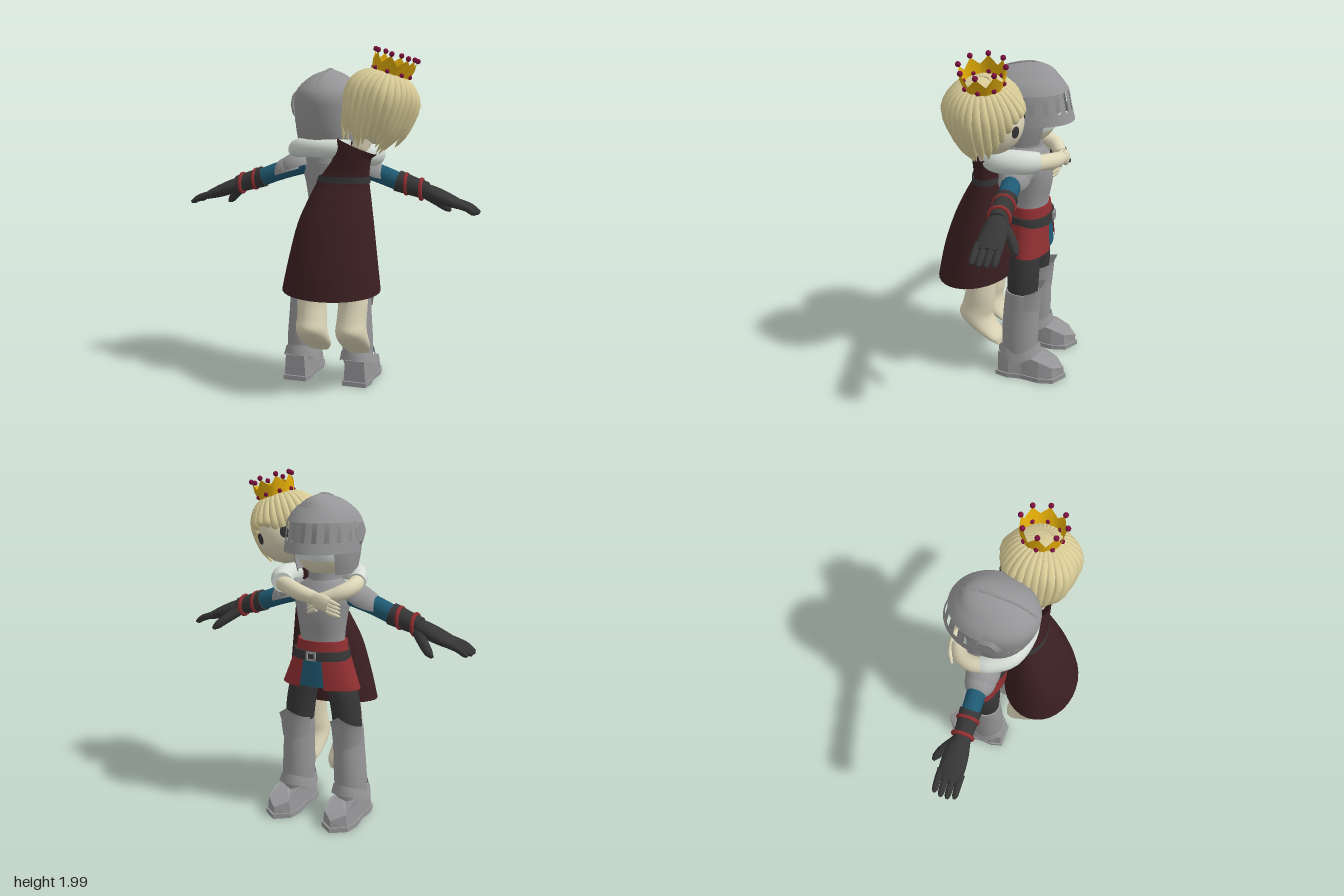
import * as THREE from 'three';

const mat = (name, color) => {
  const m = new THREE.MeshStandardMaterial({ color, side: THREE.DoubleSide });
  m.name = name;
  return m;
};
const M = {
  steel: mat('steel grey', 0x959597), dark: mat('charcoal', 0x363637), red: mat('red cloth', 0x8f2f31),
  blue: mat('blue cloth', 0x1f5a73), maroon: mat('maroon dress', 0x3b1f21), skin: mat('pale skin', 0xdcd5b8),
  hair: mat('blonde hair', 0xdacd98), white: mat('white cloth', 0xd4dcd5), gold: mat('gold', 0xe0aa08),
  gem: mat('gem', 0x7d1140),
};

function add(parent, name, geo, material, pos = [0, 0, 0], rot = [0, 0, 0], scale = [1, 1, 1]) {
  const m = new THREE.Mesh(geo, material);
  m.name = name;
  m.position.set(...pos);
  m.rotation.set(...rot);
  m.scale.set(...scale);
  parent.add(m);
  return m;
}

// Elliptical sections [x, y, z, ru, rv] swept along a smooth path; rv lies along ref.
// flat keeps the rings level (list them upward); arc (degrees, 270 = -z) leaves part of the ring open.
function loft(pts, { ref = [0, 0, 1], flat = false, arc = null, n = 20, s = 4, caps = true } = {}) {
  const spline = f => new THREE.CatmullRomCurve3(pts.map(f), false, 'catmullrom', 0.5);
  const path = spline(p => new THREE.Vector3(p[0], p[1], p[2]));
  const radii = spline(p => new THREE.Vector3(p[3], p[4] ?? p[3], 0));
  const rings = (pts.length - 1) * s, pos = [], idx = [];
  const cols = arc ? n + 1 : n;
  const [a0, a1] = (arc ?? [0, 360]).map(THREE.MathUtils.degToRad);
  for (let i = 0; i <= rings; i++) {
    const t = i / rings, c = path.getPoint(t), r = radii.getPoint(t);
    const w = flat ? new THREE.Vector3(0, 1, 0) : path.getTangent(t);
    const v = new THREE.Vector3(...ref).addScaledVector(w, -w.dot(new THREE.Vector3(...ref))).normalize();
    const u = v.clone().cross(w);
    for (let j = 0; j < cols; j++) {
      const a = a0 + (a1 - a0) * j / n;
      const p = c.clone().addScaledVector(u, Math.cos(a) * Math.max(r.x, 0.001))
        .addScaledVector(v, Math.sin(a) * Math.max(r.y, 0.001));
      pos.push(p.x, p.y, p.z);
    }
  }
  for (let i = 0; i < rings; i++) for (let j = 0; j < n; j++) {
    const k = (j + 1) % cols, a = i * cols + j, b = i * cols + k;
    idx.push(a, b, a + cols, b, b + cols, a + cols);
  }
  if (caps && !arc) for (const i of [0, rings]) {
    const base = pos.length / 3, c = path.getPoint(i / rings);
    pos.push(...pos.slice(i * cols * 3, (i + 1) * cols * 3), c.x, c.y, c.z);
    for (let j = 0; j < n; j++) {
      const k = (j + 1) % n;
      idx.push(base + n, ...(i ? [base + j, base + k] : [base + k, base + j]));
    }
  }
  const g = new THREE.BufferGeometry();
  g.setAttribute('position', new THREE.Float32BufferAttribute(pos, 3));
  g.setIndex(idx);
  g.computeVertexNormals();
  return g;
}

function moveVertices(g, rule) {
  const p = g.attributes.position, v = new THREE.Vector3();
  for (let i = 0; i < p.count; i++) {
    rule(v.fromBufferAttribute(p, i), i);
    p.setXYZ(i, v.x, v.y, v.z);
  }
  g.computeVertexNormals();
  return g;
}

const ball = (r = 1) => new THREE.SphereGeometry(r, 24, 16);

function buildHelmet(g) {
  add(g, 'knightFace', ball(), M.skin, [0, 1.58, -0.1], [0, 0, 0], [0.165, 0.165, 0.175]);
  add(g, 'knightFringe', new THREE.SphereGeometry(1, 24, 12, 0, Math.PI * 2, 0, 1.95), M.white, [0, 1.585, -0.1], [0, 0, 0], [0.176, 0.178, 0.183]);
  add(g, 'helmetDome', loft([[0, 1.6, -0.075, 0.192, 0.215], [0, 1.7, -0.075, 0.195, 0.228], [0, 1.77, -0.086, 0.172, 0.208],
    [0, 1.84, -0.11, 0.092, 0.14], [0, 1.875, -0.145, 0.002, 0.04]], { flat: true, n: 28, caps: false }), M.steel);
  add(g, 'helmetNeck', loft([[0, 1.44, -0.075, 0.172, 0.165], [0, 1.52, -0.075, 0.185, 0.195], [0, 1.6, -0.075, 0.192, 0.215]],
    { flat: true, arc: [-48, 228], n: 28 }), M.steel);
  add(g, 'helmetRidge', loft([[0, 1.7, 0.15, 0.004], [0, 1.78, 0.115, 0.005], [0, 1.845, 0.025, 0.005], [0, 1.876, -0.14, 0.006],
    [0, 1.83, -0.26, 0.005]], { ref: [1, 0, 0], n: 6 }), M.steel);
  // Visor: two bands joined by bars
  const visor = (rings, arc, n) => loft(rings, { flat: true, arc, n, s: 2 });
  const low = [0, 1.625, -0.1, 0.211, 0.256], high = [0, 1.73, -0.098, 0.202, 0.236];
  add(g, 'visorLowerBand', visor([[0, 1.565, -0.1, 0.214, 0.272], low], [178, 362], 24), M.steel);
  add(g, 'visorUpperBand', visor([high, [0, 1.775, -0.095, 0.178, 0.207], [0, 1.81, -0.1, 0.14, 0.172]], [178, 362], 24), M.steel);
  for (let a = -81; a <= 81; a += 18) add(g, 'visorBar', visor([low, high], [264.5 + a, 275.5 + a], 2), M.steel);
  for (const s of [-1, 1])
    add(g, 'visorHinge', new THREE.CylinderGeometry(0.06, 0.085, 0.02, 6), M.steel, [s * 0.2, 1.67, -0.07], [0, 0, -s * Math.PI / 2]);
}

function buildTorso(g) {
  add(g, 'gorget', loft([[0, 1.33, -0.1, 0.11], [0, 1.41, -0.1, 0.095], [0, 1.48, -0.09, 0.1]], { flat: true }), M.steel);
  add(g, 'breastplate', loft([[0, 1.0, -0.13, 0.14, 0.105], [0, 1.08, -0.13, 0.135, 0.105], [0, 1.2, -0.13, 0.15, 0.125],
    [0, 1.3, -0.125, 0.17, 0.125], [0, 1.36, -0.11, 0.15, 0.11], [0, 1.41, -0.1, 0.09, 0.09]], { flat: true, n: 24 }), M.steel);
  add(g, 'waistSash', loft([[0, 0.98, -0.135, 0.165, 0.12], [0, 1.06, -0.13, 0.15, 0.115]], { flat: true, s: 1, n: 24 }), M.red);
  add(g, 'belt', loft([[0, 0.955, -0.14, 0.178, 0.13], [0, 1.005, -0.135, 0.17, 0.13]], { flat: true, s: 1, n: 24 }), M.dark);
  add(g, 'skirt', loft([[0, 0.79, -0.145, 0.245, 0.125], [0, 0.88, -0.14, 0.208, 0.124], [0, 0.98, -0.135, 0.17, 0.122]],
    { flat: true, arc: [-71, 251], n: 28 }), M.red);
  add(g, 'tabard', loft([[0, 0.8, -0.145, 0.21, 0.117], [0, 0.98, -0.135, 0.16, 0.117]], { flat: true, arc: [225, 315], n: 10 }), M.blue);
  // Buckle frame
  const frame = new THREE.Shape([[-0.03, -0.025], [0.03, -0.025], [0.03, 0.025], [-0.03, 0.025]].map(p => new THREE.Vector2(...p)));
  frame.holes.push(new THREE.Path([[-0.02, -0.015], [-0.02, 0.015], [0.02, 0.015], [0.02, -0.015]].map(p => new THREE.Vector2(...p))));
  add(g, 'buckle', new THREE.ExtrudeGeometry(frame, { depth: 0.012, bevelEnabled: false }), M.steel, [0, 0.98, -0.275]);
}

function buildArm(g, s) {
  const limb = (pts, o) => loft(pts.map(([x, ...r]) => [s * x, ...r]), o);
  add(g, 'sleeve', limb([[0.14, 1.32, -0.1, 0.056], [0.3, 1.275, -0.095, 0.055], [0.46, 1.215, -0.095, 0.052]]), M.blue);
  add(g, 'gloveCuff', limb([[0.415, 1.235, -0.095, 0.063], [0.5, 1.207, -0.095, 0.056], [0.585, 1.182, -0.095, 0.051]]), M.dark);
  for (const [x, y] of [[0.468, 1.218], [0.556, 1.19]])
    add(g, 'cuffRing', new THREE.TorusGeometry(0.056, 0.012, 8, 24), M.red, [s * x, y, -0.095], [0, Math.PI / 2, -s * 0.33]);
  add(g, 'palm', limb([[0.56, 1.188, -0.095, 0.043, 0.048], [0.64, 1.16, -0.098, 0.043, 0.067], [0.72, 1.13, -0.098, 0.036, 0.073],
    [0.79, 1.105, -0.098, 0.024, 0.068]]), M.dark);
  for (let i = 0; i < 4; i++) {
    const z = -0.155 + i * 0.039, e = 0.89 - (i % 3 ? 0 : 0.012);
    add(g, 'finger', limb([[0.75, 1.12, z, 0.02], [0.82, 1.098, z, 0.019], [e - 0.02, 1.075, z, 0.017], [e, 1.067, z, 0.008]], { n: 8 }), M.dark);
  }
  add(g, 'thumb', limb([[0.58, 1.16, -0.12, 0.032], [0.64, 1.11, -0.18, 0.028], [0.68, 1.075, -0.21, 0.023], [0.705, 1.055, -0.222, 0.01]], { n: 10 }), M.dark);
  // Layered shoulder plates
  for (const [x, y, r] of [[0.25, 1.27, 0.1], [0.205, 1.295, 0.11]])
    add(g, 'shoulderPlate', new THREE.SphereGeometry(1, 20, 8, 0, Math.PI * 2, 0, Math.PI / 2), M.steel, [s * x, y, -0.095], [0, 0, -s * 0.3], [r, 0.088, r * 0.88]);
}

function buildLeg(g, s) {
  const cx = s * 0.17;
  add(g, 'thigh', loft([[s * 0.165, 0.48, -0.125, 0.08, 0.088], [s * 0.15, 0.65, -0.125, 0.085, 0.093], [s * 0.12, 0.8, -0.13, 0.085, 0.09],
    [s * 0.08, 0.95, -0.135, 0.07, 0.08]], { flat: true }), M.dark);
  add(g, 'greave', loft([[s * 0.18, 0.12, -0.115, 0.09, 0.105], [s * 0.175, 0.25, -0.115, 0.093, 0.11], [s * 0.168, 0.42, -0.12, 0.088, 0.108],
    [s * 0.163, 0.555, -0.125, 0.087, 0.1]], { flat: true }), M.steel);
  // Knee guard and ankle cuff rise or dip to a point at the middle
  add(g, 'kneeGuard', moveVertices(loft([[cx, 0.47, -0.125, 0.09, 0.106], [cx, 0.53, -0.125, 0.098, 0.118], [cx, 0.575, -0.125, 0.104, 0.138]],
    { flat: true, arc: [195, 345], n: 12, s: 1 }), v => {
    const k = Math.max(0, 1 - Math.abs(v.x - cx) / 0.105);
    v.y += (v.y > 0.5 ? 0.07 : -0.04) * k;
  }), M.steel);
  add(g, 'ankleCuff', moveVertices(loft([[s * 0.18, 0.16, -0.115, 0.113, 0.13], [s * 0.178, 0.22, -0.115, 0.1, 0.115]],
    { flat: true, s: 1, n: 24, caps: false }), v => { v.y -= 0.05 * (1 - Math.min(1, Math.abs(v.z + 0.115) / 0.115)); }), M.steel);
  const outline = k => new THREE.Shape([[-0.07, -0.01], [0.07, -0.01], [0.088, 0.06], [0.08, 0.14], [0.098, 0.25], [0.083, 0.335], [0, 0.395],
    [-0.083, 0.335], [-0.098, 0.25], [-0.08, 0.14], [-0.088, 0.06]].map(([x, y]) => new THREE.Vector2(x * k, 0.2 + (y - 0.2) * k)));
  const boot = (k, h) => new THREE.ExtrudeGeometry(outline(k), { depth: h, bevelEnabled: false }).rotateX(-Math.PI / 2);
  add(g, 'boot', moveVertices(boot(0.97, 0.15), v => {
    v.y *= THREE.MathUtils.mapLinear(Math.min(v.z, -0.2), -0.2, -0.4, 1, 0.4);
    if (v.y > 0.03) v.x *= 0.86;
  }), M.steel, [s * 0.188, 0.005, 0]);
  add(g, 'bootSole', boot(1.03, 0.028), M.steel, [s * 0.188, 0, 0]);
}

function buildHead(g) {
  const head = new THREE.Group();
  head.name = 'riderHead';
  head.position.set(0.33, 1.655, 0.035);
  head.rotation.z = -0.3;
  g.add(head);
  add(head, 'riderFace', ball(0.172), M.skin, [0, -0.035, -0.025]);
  add(head, 'hairCap', ball(0.187), M.hair, [0, 0.025, 0.018]);
  for (const s of [-1, 1]) add(head, 'eye', ball(), M.dark, [s * 0.085, -0.03, -0.175], [0, -s * 0.5, 0], [0.027, 0.034, 0.005]);
  // Hair locks: short over the face, long and ragged at the nape
  const count = 30;
  for (let i = 0; i < count; i++) {
    const a = i / count * Math.PI * 2, dx = Math.sin(a), dz = Math.cos(a);
    const back = THREE.MathUtils.smoothstep(dz, -0.98, -0.1), wob = Math.sin(i * 7.3);
    const at = (r, y, w, t) => [dx * r, y, dz * r + 0.01, w, t];
    const end = THREE.MathUtils.lerp(0.0, -0.205, back) + wob * 0.035;
    const tip = THREE.MathUtils.lerp(0.185, dz > 0.3 ? 0.12 : 0.15, back) + wob * 0.016;
    add(head, 'hairLock', loft([at(0.04, 0.2, 0.012, 0.012), at(0.13, 0.165, 0.022, 0.022), at(0.192 + wob * 0.008, 0.075, 0.024, 0.028),
      at((0.2 + tip) / 2 + 0.005, 0.4 * 0.07 + 0.6 * end, 0.022, 0.026), at(tip, end, 0.002, 0.002)],
    { ref: [dz, 0, -dx], n: 7, s: 3 }), M.hair);
  }
  // Crown with eight points
  const crown = new THREE.CylinderGeometry(0.122, 0.098, 0.1, 16, 1, true);
  add(head, 'crown', moveVertices(crown, (v, i) => { if (v.y > 0) v.y += i % 2 ? -0.02 : 0.03; }), M.gold, [0.008, 0.215, -0.008]);
  add(head, 'crownRim', new THREE.TorusGeometry(0.1, 0.012, 8, 24), M.gold, [0.008, 0.175, -0.008], [Math.PI / 2, 0, 0]);
  for (let i = 0; i < 8; i++) {
    const a = i * Math.PI / 4, x = Math.sin(a), z = Math.cos(a) - 0.06;
    add(head, 'crownTipGem', new THREE.SphereGeometry(0.015, 10, 8), M.gem, [0.008 + x * 0.124, 0.304, z * 0.124]);
    add(head, 'crownBandGem', new THREE.SphereGeometry(0.013, 10, 8), M.gem, [0.008 + x * 0.108, 0.208, z * 0.108]);
  }
}

function buildRider(g) {
  buildHead(g);
  add(g, 'riderNeck', loft([[0.22, 1.4, 0.07, 0.05], [0.27, 1.53, 0.05, 0.05]]), M.skin);
  // Hem hangs lower at the back, neckline slopes to the side
  add(g, 'dress', moveVertices(loft([[0.093, 0.63, 0.168, 0.286, 0.228], [0.098, 0.8, 0.15, 0.258, 0.206], [0.107, 1.0, 0.126, 0.222, 0.16],
    [0.125, 1.15, 0.098, 0.18, 0.115], [0.142, 1.25, 0.08, 0.148, 0.08], [0.185, 1.36, 0.08, 0.112, 0.075], [0.218, 1.44, 0.08, 0.112, 0.07]],
  { flat: true, n: 32, caps: false }), v => {
    v.y -= (v.z - 0.168) * 0.1 * Math.max(0, 1 - (v.y - 0.63) / 0.2);
    v.y -= (v.x - 0.22) * 0.4 * THREE.MathUtils.smoothstep(v.y, 1.36, 1.44);
  }), M.maroon);
  add(g, 'dressBelt', loft([[0.137, 1.235, 0.08, 0.158, 0.09], [0.145, 1.272, 0.08, 0.15, 0.086]], { flat: true, s: 1, n: 28, caps: false }), M.dark);
  // Bare legs, toes pointing down
  for (const [x, top] of [[-0.033, 0.03], [0.207, 0.17]])
    add(g, 'riderLeg', loft([[x, 0.213, 0.0, 0.055, 0.014], [x, 0.26, 0.04, 0.086, 0.052], [x, 0.33, 0.113, 0.093, 0.085], [x, 0.39, 0.148, 0.09, 0.1],
      [x, 0.46, 0.132, 0.085, 0.096], [x, 0.6, 0.114, 0.085, 0.086], [top, 1.0, 0.09, 0.08, 0.08]], { flat: true }), M.skin);
  // Arms wrapped round the knight's neck, hands crossed on the chest
  const ref = [0, 1, 0];
  add(g, 'nearSleeve', loft([[0.22, 1.39, 0.07, 0.05], [0.275, 1.39, 0, 0.066], [0.265, 1.385, -0.12, 0.068], [0.21, 1.375, -0.22, 0.058]], { ref }), M.white);
  add(g, 'nearForearm', loft([[0.22, 1.37, -0.2, 0.045], [0.08, 1.345, -0.275, 0.045], [-0.05, 1.32, -0.295, 0.035]], { ref }), M.skin);
  add(g, 'farSleeve', loft([[0.17, 1.42, 0.06, 0.055], [0.02, 1.425, 0.08, 0.055], [-0.12, 1.425, 0.04, 0.055], [-0.185, 1.41, -0.05, 0.052],
    [-0.2, 1.395, -0.1, 0.05]], { ref }), M.white);
  add(g, 'farForearm', loft([[-0.19, 1.4, -0.06, 0.042], [-0.208, 1.38, -0.15, 0.045], [-0.18, 1.355, -0.23, 0.043], [-0.1, 1.325, -0.28, 0.035]], { ref }), M.skin);
  for (const [s, z] of [[1, -0.305], [-1, -0.28]]) {
    const hand = x => s * x - 0.085;
    add(g, 'riderPalm', loft([[hand(0.05), 1.325, z, 0.024, 0.034], [hand(0), 1.31, z - 0.005, 0.024, 0.045],
      [hand(-0.05), 1.293, z - 0.003, 0.02, 0.043]], { ref, n: 12 }), M.skin);
    for (let i = 0; i < 4; i++) {
      const y = 1.322 - i * 0.021;
      add(g, 'riderFinger', loft([[hand(-0.04), y, z - 0.003, 0.014], [hand(-0.08), y - 0.016, z + 0.004, 0.013], [hand(-0.11), y - 0.03, z + 0.018, 0.006]],
        { ref, n: 7 }), M.skin);
    }
  }
}

export function createModel() {
  const model = new THREE.Group(), knight = new THREE.Group(), rider = new THREE.Group();
  model.name = 'knightCarryingRider';
  knight.name = 'knight';
  rider.name = 'rider';
  model.add(knight, rider);
  buildHelmet(knight);
  buildTorso(knight);
  for (const s of [-1, 1]) {
    buildArm(knight, s);
    buildLeg(knight, s);
  }
  buildRider(rider);
  return model;
}
